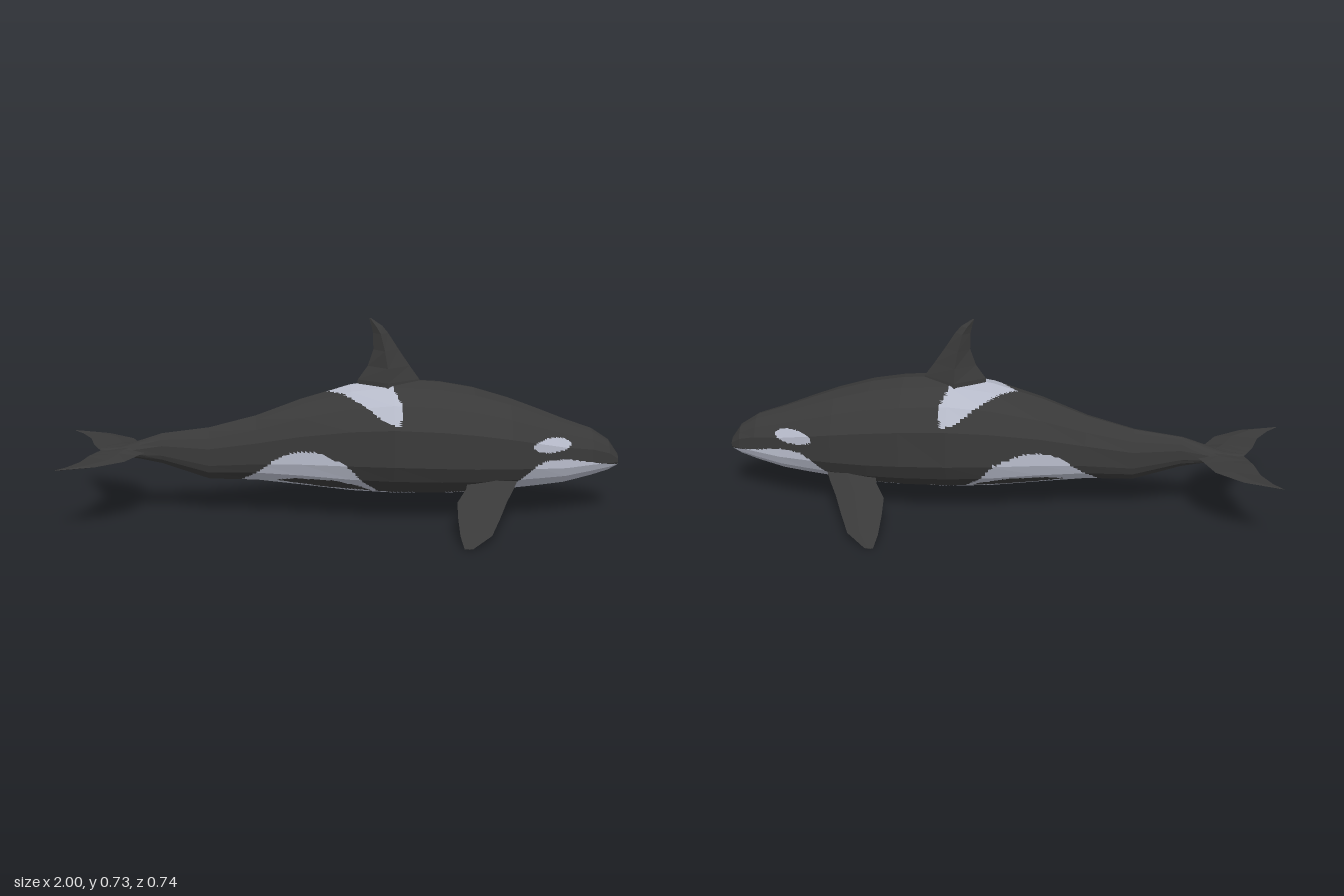
import * as THREE from 'three';

const black = new THREE.MeshStandardMaterial({ color: 0x393939 });
black.name = 'black skin';
const pale = new THREE.MeshStandardMaterial({ color: 0xb6bac9 });
pale.name = 'pale markings';
const V = (x, y, z) => new THREE.Vector3(x, y, z);

// Triangles of a closed loft through rings of points, wound to face outwards
function loft(rings) {
  const tris = [];
  const n = rings[0].length;
  for (let i = 0; i < rings.length - 1; i++) {
    for (let j = 0; j < n; j++) {
      const k = (j + 1) % n, a = rings[i], b = rings[i + 1];
      tris.push([a[j], a[k], b[k]], [a[j], b[k], b[j]]);
    }
  }
  const cap = (ring, flip) => {
    const c = ring.reduce((s, p) => s.add(p), V(0, 0, 0)).divideScalar(n);
    ring.forEach((p, j) => {
      const q = ring[(j + 1) % n];
      tris.push(flip ? [c, q, p] : [c, p, q]);
    });
  };
  cap(rings[0], true);
  cap(rings[rings.length - 1], false);
  let volume = 0;
  for (const [a, b, c] of tris) volume += a.dot(b.clone().cross(c));
  return volume < 0 ? tris.map(([a, b, c]) => [a, c, b]) : tris;
}

// Flat-faceted geometry from one or more lists of triangles, one group per list
function facets(...lists) {
  const geo = new THREE.BufferGeometry().setFromPoints(lists.flat(2));
  let start = 0;
  lists.forEach((list, i) => {
    geo.addGroup(start, list.length * 3, i);
    start += list.length * 3;
  });
  geo.computeVertexNormals();
  return geo;
}

// Splits each triangle into n * n flat pieces so markings get a clean outline
function subdivide(tris, n) {
  const out = [];
  for (const [a, b, c] of tris) {
    const at = (i, j) => a.clone().addScaledVector(b.clone().sub(a), i / n).addScaledVector(c.clone().sub(a), j / n);
    for (let i = 0; i < n; i++) {
      for (let j = 0; j < n - i; j++) {
        out.push([at(i, j), at(i + 1, j), at(i, j + 1)]);
        if (i + j < n - 1) out.push([at(i + 1, j), at(i + 1, j + 1), at(i, j + 1)]);
      }
    }
  }
  return out;
}

function inside(poly, x, y) {
  let hit = false;
  for (let i = 0, j = poly.length - 1; i < poly.length; j = i++) {
    const [xi, yi] = poly[i], [xj, yj] = poly[j];
    if ((yi > y) !== (yj > y) && x < ((xj - xi) * (y - yi)) / (yj - yi) + xi) hit = !hit;
  }
  return hit;
}

// Body stations: x, bottom, top, half width
const stations = [
  [-0.87, 0.245, 0.26, 0.008], [-0.8, 0.235, 0.265, 0.028], [-0.73, 0.225, 0.288, 0.036],
  [-0.65, 0.207, 0.315, 0.034], [-0.48, 0.15, 0.336, 0.056], [-0.31, 0.148, 0.38, 0.08],
  [-0.15, 0.133, 0.44, 0.113], [0.03, 0.115, 0.492, 0.152], [0.18, 0.108, 0.512, 0.175],
  [0.35, 0.106, 0.5, 0.177], [0.47, 0.108, 0.478, 0.17], [0.6, 0.118, 0.438, 0.152],
  [0.7, 0.125, 0.4, 0.128], [0.8, 0.133, 0.36, 0.1], [0.9, 0.155, 0.324, 0.074],
  [0.965, 0.172, 0.28, 0.05], [1, 0.188, 0.228, 0.028],
];
// Half cross-section, across and up as fractions
const half = [[0, 1], [0.36, 0.965], [0.68, 0.83], [0.96, 0.64], [1, 0.31], [0.85, 0.16], [0.42, 0], [0, 0]];
const outline = [...half, ...half.slice(1, -1).reverse().map(([u, v]) => [-u, v])];

// Marking outlines, seen from the side (x, y)
const jaw = [[0.6, 0], [0.6, 0.14], [0.64, 0.175], [0.68, 0.215], [0.72, 0.235], [0.8, 0.237], [0.9, 0.215], [1.02, 0.19], [1.02, 0]];
const flank = [[-0.42, 0.1], [-0.33, 0.172], [-0.29, 0.2], [-0.23, 0.25], [-0.16, 0.275], [-0.09, 0.275], [0.01, 0.235], [0.07, 0.165], [0.14, 0.1]];
const notch = [[-0.24, 0.153], [-0.17, 0.165], [-0.03, 0.165], [0.06, 0.14], [0.1, 0.118], [-0.05, 0.128], [-0.18, 0.142]];
// Saddle outline (x, distance around from the spine)
const saddle = [[-0.06, 0], [-0.06, 0.04], [0, 0.09], [0.08, 0.18], [0.11, 0.22], [0.15, 0.27], [0.2, 0.295], [0.21, 0.19], [0.18, 0.09], [0.18, 0]];

function isPale([a, b, c]) {
  const x = (a.x + b.x + c.x) / 3, y = (a.y + b.y + c.y) / 3, z = Math.abs(a.z + b.z + c.z) / 3;
  if (inside(jaw, x, y)) return true;
  if (inside(flank, x, y)) return !inside(notch, x, y);
  if (y < 0.145 && x > -0.42 && x < 0.62 && z < 0.076) return true;
  if (Math.hypot((x - 0.745) / 0.07, (y - 0.29) / 0.025) < 1) return true;
  return y > 0.37 && inside(saddle, x, z + 0.51 - y);
}

export function createModel() {
  const group = new THREE.Group();
  const add = (name, geometry, material) => {
    const mesh = new THREE.Mesh(geometry, material);
    mesh.name = name;
    group.add(mesh);
  };

  // Body with pale jaw, belly, flank, eye and saddle patches
  const rings = stations.map(([x, lo, hi, w]) => outline.map(([u, v]) => V(x, lo + (hi - lo) * v, w * u)));
  const skin = subdivide(loft(rings), 12);
  add('body', facets(skin.filter((t) => !isPale(t)), skin.filter(isPale)), [black, pale]);

  // Dorsal fin: y, back x, ridge x, front x, half thickness
  const fin = [
    [0.46, 0.05, 0.16, 0.29, 0.07], [0.51, 0.055, 0.16, 0.275, 0.064], [0.56, 0.09, 0.16, 0.24, 0.05],
    [0.62, 0.11, 0.15, 0.2, 0.036], [0.68, 0.108, 0.135, 0.162, 0.021], [0.705, 0.103, 0.12, 0.142, 0.014],
    [0.733, 0.095, 0.098, 0.102, 0.001],
  ];
  add('dorsalFin', facets(loft(fin.map(([y, b, r, f, t]) => [V(b, y, 0), V(r, y, t), V(f, y, 0), V(r, y, -t)]))), black);

  // Blades reaching sideways: z, y, back x, front x, half thickness
  const flipper = [
    [0.1, 0.172, 0.45, 0.63, 0.022], [0.15, 0.143, 0.435, 0.605, 0.021], [0.2, 0.111, 0.4, 0.575, 0.017],
    [0.26, 0.072, 0.398, 0.545, 0.013], [0.325, 0.032, 0.4, 0.51, 0.009], [0.372, 0.002, 0.41, 0.44, 0.002],
  ];
  const fluke = [
    [0, 0.252, -0.872, -0.64, 0.02], [0.035, 0.252, -0.89, -0.71, 0.014], [0.07, 0.253, -0.905, -0.73, 0.009],
    [0.145, 0.254, -0.925, -0.77, 0.006], [0.21, 0.255, -0.965, -0.865, 0.004], [0.245, 0.256, -1, -0.99, 0.001],
  ];
  const blade = (rows, side) => facets(loft(rows.map(([z, y, b, f, t]) => {
    const mid = b + (f - b) * 0.6;
    return [V(b, y, z * side), V(mid, y + t, z * side), V(f, y, z * side), V(mid, y - t, z * side)];
  })));
  for (const [side, label] of [[1, 'front'], [-1, 'back']]) {
    add(label + 'Flipper', blade(flipper, side), black);
    add(label + 'TailFluke', blade(fluke, side), black);
  }
  return group;
}
